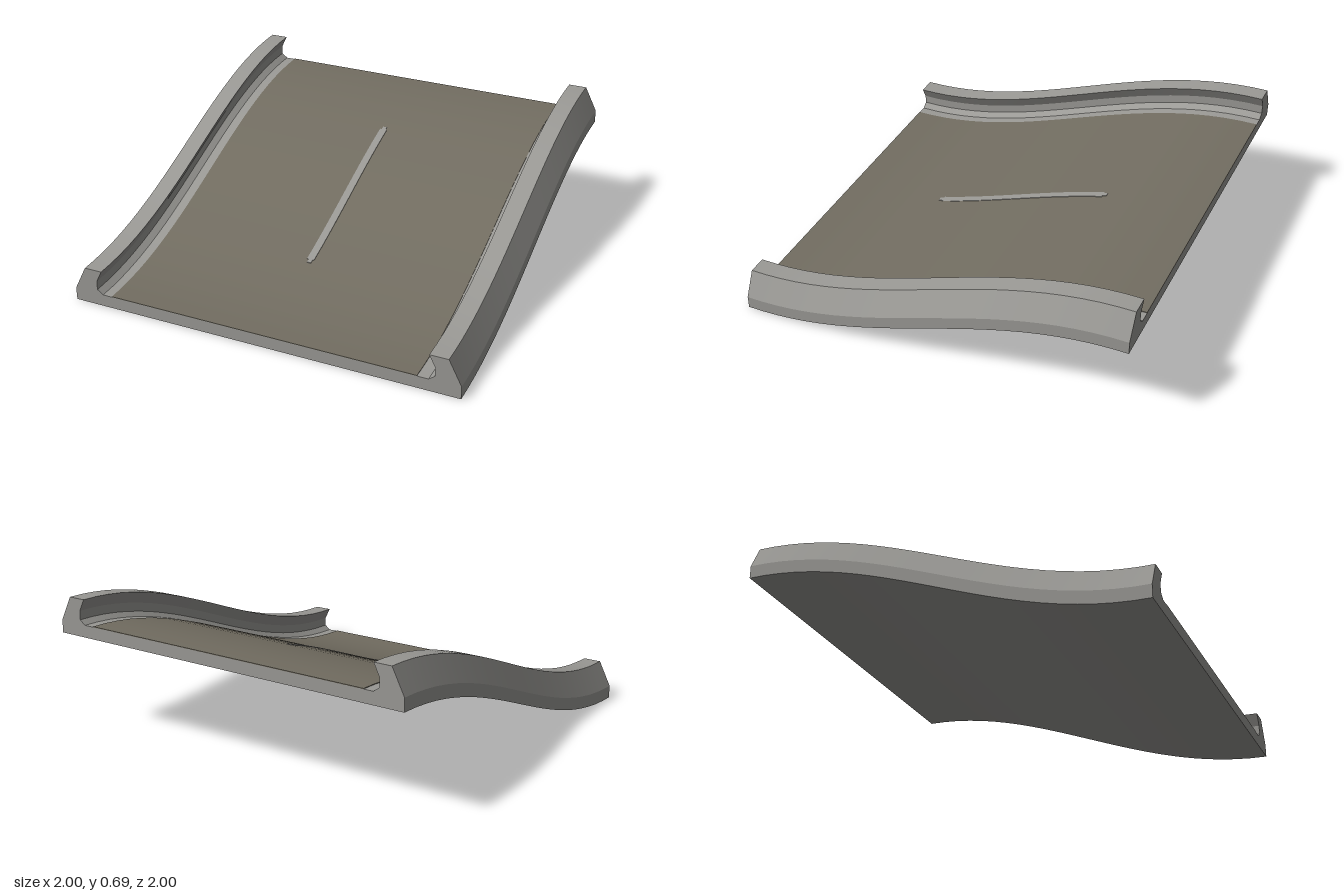
import * as THREE from 'three';
import { toCreasedNormals } from 'three/addons/utils/BufferGeometryUtils.js';

// Height of the ramp: low at the front, rising in an S-curve to the back
const rise = (z) => 0.25 * (1 - Math.cos(Math.PI * (1 - z) / 2));

// Extrude a cross-section between two z positions, then bend it along the rise
function sweep(points, z0, z1, steps) {
  const shape = new THREE.Shape(points.map(([x, y]) => new THREE.Vector2(x, y)));
  const geo = new THREE.ExtrudeGeometry(shape, { depth: z1 - z0, steps, bevelEnabled: false });
  geo.translate(0, 0, z0);
  const p = geo.attributes.position;
  for (let i = 0; i < p.count; i++) p.setY(i, p.getY(i) + rise(p.getZ(i)));
  return toCreasedNormals(geo, 0.3);
}

const slab = (x0, x1, y0, y1) => [[x0, y0], [x1, y0], [x1, y1], [x0, y1]];

export function createModel() {
  const group = new THREE.Group();
  const concrete = new THREE.MeshStandardMaterial({ name: 'concrete', color: 0x9a9995 });
  const asphalt = new THREE.MeshStandardMaterial({ name: 'asphalt', color: 0x726d61 });

  const add = (name, geo, material) => {
    const mesh = new THREE.Mesh(geo, material);
    mesh.name = name;
    group.add(mesh);
  };

  // Deck and both overhanging kerbs as one cross-section
  const half = [
    [1, 0], [1, 0.065], [0.937, 0.19], [0.845, 0.19],
    [0.875, 0.13], [0.875, 0.085], [0.845, 0.062],
  ];
  const mirrored = half.map(([x, y]) => [-x, y]).reverse();
  add('deckAndKerbs', sweep([...half, ...mirrored], -1, 1, 24), concrete);

  // Road surface, leaving a pale edge line beside each kerb
  add('roadSurface', sweep(slab(-0.795, 0.79, 0.061, 0.065), -1, 1, 24), asphalt);

  // Painted centre line with narrowed ends
  add('centreLine', sweep(slab(-0.025, 0.013, 0.064, 0.068), -0.47, 0.43, 16), concrete);
  add('centreLineBackEnd', sweep(slab(-0.016, 0.006, 0.064, 0.068), -0.49, -0.47, 1), concrete);
  add('centreLineFrontEnd', sweep(slab(-0.016, 0.006, 0.064, 0.068), 0.43, 0.45, 1), concrete);

  return group;
}
